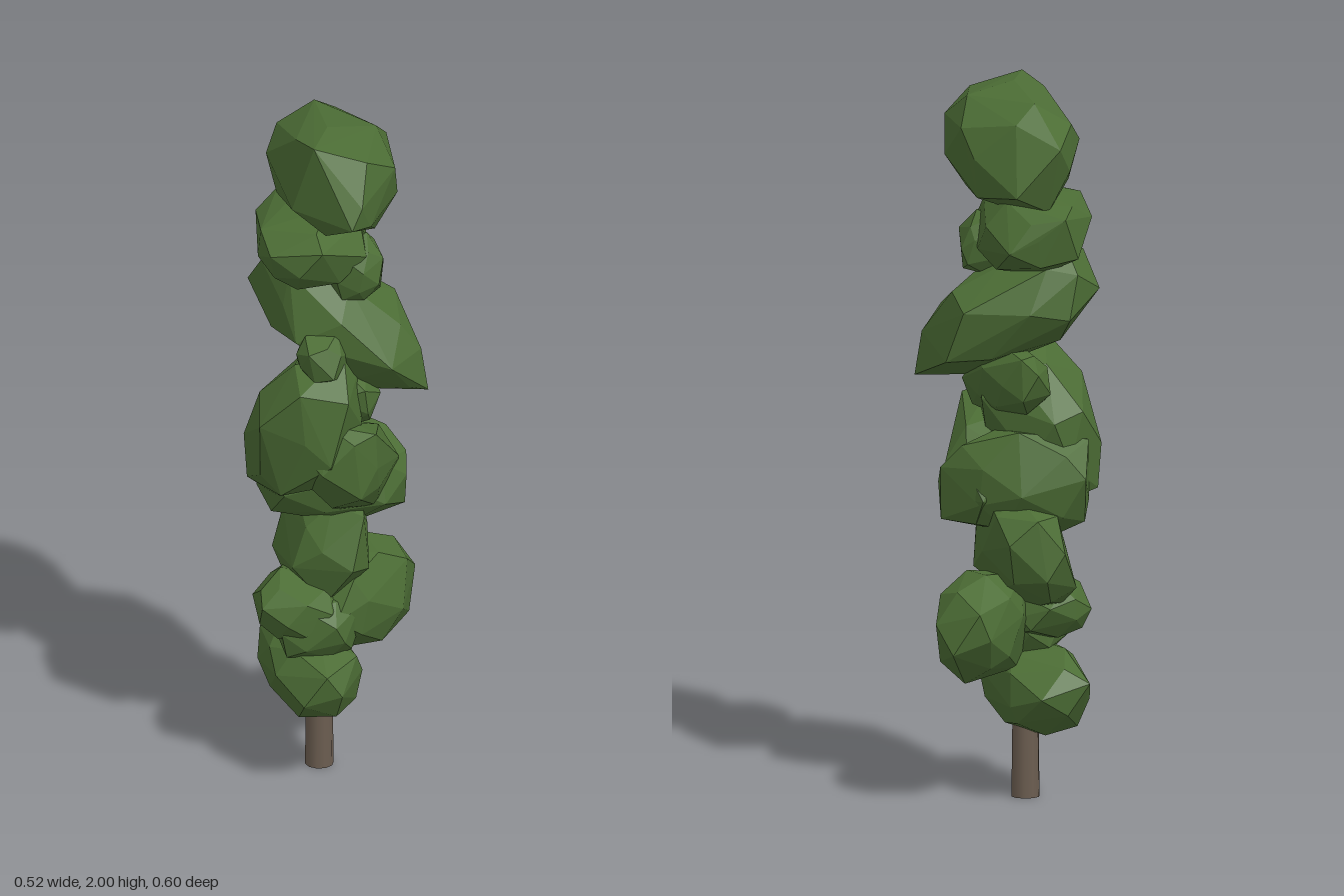
import * as THREE from 'three';
import { ConvexGeometry } from 'three/addons/geometries/ConvexGeometry.js';

const leafMat = new THREE.MeshStandardMaterial({ color: 0x4c6d35, flatShading: true });
const barkMat = new THREE.MeshStandardMaterial({ color: 0x6b5d50 });

// small seeded generator
function seeded(seed) {
  let s = seed * 7919 + 17;
  return () => (s = (s * 16807) % 2147483647) / 2147483647;
}

// Faceted clump filling the box of x, y and z ranges.
// lean = [y by x, y by z, x by z]; tips = extra corners that stick out
function clump(seed, [x0, x1], [y0, y1], [z0, z1], lean = [0, 0, 0], ...tips) {
  const rand = seeded(seed), count = 26, points = [];
  for (let i = 0; i < 12; i++) rand();
  const swell = (v) => Math.sign(v) * Math.abs(v) ** 0.85;
  for (let i = 0; i < count; i++) {
    const h = 1 - (2 * (i + 0.5)) / count, a = i * 2.39996 + seed + rand() * 0.5;
    const r = Math.sqrt(1 - h * h), k = 0.9 + rand() * 0.2;
    const p = new THREE.Vector3(swell(r * Math.cos(a)), swell(h), swell(r * Math.sin(a))).multiplyScalar(k);
    p.y += lean[0] * p.x + lean[1] * p.z;
    p.x += lean[2] * p.z;
    points.push(p);
  }
  // fit the points to the wanted box
  const box = new THREE.Box3().setFromPoints(points), size = box.getSize(new THREE.Vector3());
  const low = new THREE.Vector3(x0, y0, z0), want = new THREE.Vector3(x1, y1, z1).sub(low);
  points.forEach((p) => p.sub(box.min).divide(size).multiply(want).add(low));
  tips.forEach((t) => points.push(new THREE.Vector3(...t)));
  return new THREE.Mesh(new ConvexGeometry(points), leafMat);
}

export function createModel() {
  const tree = new THREE.Group();
  tree.name = 'columnTree';

  // trunk
  const trunk = new THREE.Mesh(new THREE.CylinderGeometry(0.035, 0.04, 0.4, 10), barkMat);
  trunk.position.set(-0.05, 0.2, -0.02);
  trunk.name = 'trunk';
  tree.add(trunk);

  // foliage clumps from the bottom up: name, x, y and z ranges, lean, tips
  const clumps = [
    ['bottomClump', [-0.24, 0.09], [0.18, 0.43], [-0.21, 0.22], [0, 0.1, 0.6]],
    ['lowerFrontClump', [-0.16, 0.08], [0.38, 0.57], [-0.06, 0.17]],
    ['lowerRightClump', [-0.23, 0.02], [0.44, 0.62], [-0.1, 0.19]],
    ['lowerBackClump', [-0.06, 0.18], [0.35, 0.65], [-0.3, 0.13], [0, 0, -0.3]],
    ['lowerMiddleClump', [-0.2, 0.1], [0.53, 0.86], [-0.25, 0.13], [0.35, -0.2, 0.5]],
    ['middleBackClump', [-0.23, 0.19], [0.74, 1.05], [-0.2, 0.09], [0, -0.1, 0],
      [-0.22, 0.79, -0.08], [0.18, 0.79, -0.08], [0.18, 0.94, -0.1]],
    ['middleFrontClump', [-0.09, 0.17], [0.78, 1.14], [-0.17, 0.25], [0, 0.7, 0]],
    ['middleRightClump', [-0.26, 0.09], [0.84, 1.32], [-0.15, 0.25], [0.4, 0.2, 0.15], [-0.25, 0.87, 0]],
    ['upperBackKnob', [-0.13, 0.13], [1.07, 1.28], [-0.2, 0.1], [0, -0.3, 0.7]],
    ['upperFrontKnob', [-0.09, 0.06], [1.24, 1.39], [0, 0.21]],
    ['upperLeftClump', [-0.26, 0.24], [1.2, 1.58], [-0.21, 0.14], [-0.65, 0, 0.1],
      [0.26, 1.18, 0], [0.1, 1.18, 0.02]],
    ['upperLeftKnob', [-0.02, 0.14], [1.46, 1.65], [-0.06, 0.11]],
    ['neckClump', [-0.24, 0.1], [1.49, 1.73], [-0.26, 0.21], [0, 0.1, 0.1], [-0.18, 1.67, -0.24]],
    ['crownClump', [-0.2, 0.18], [1.67, 2.0], [-0.27, 0.27], [0, 0.15, 0.35],
      [0.1, 1.79, 0.3], [-0.02, 2.0, 0.23], [0.185, 1.9, 0.1]],
  ];
  clumps.forEach(([name, ...shape], i) => {
    const mesh = clump(i + 1, ...shape);
    mesh.name = name;
    tree.add(mesh);
  });
  return tree;
}
